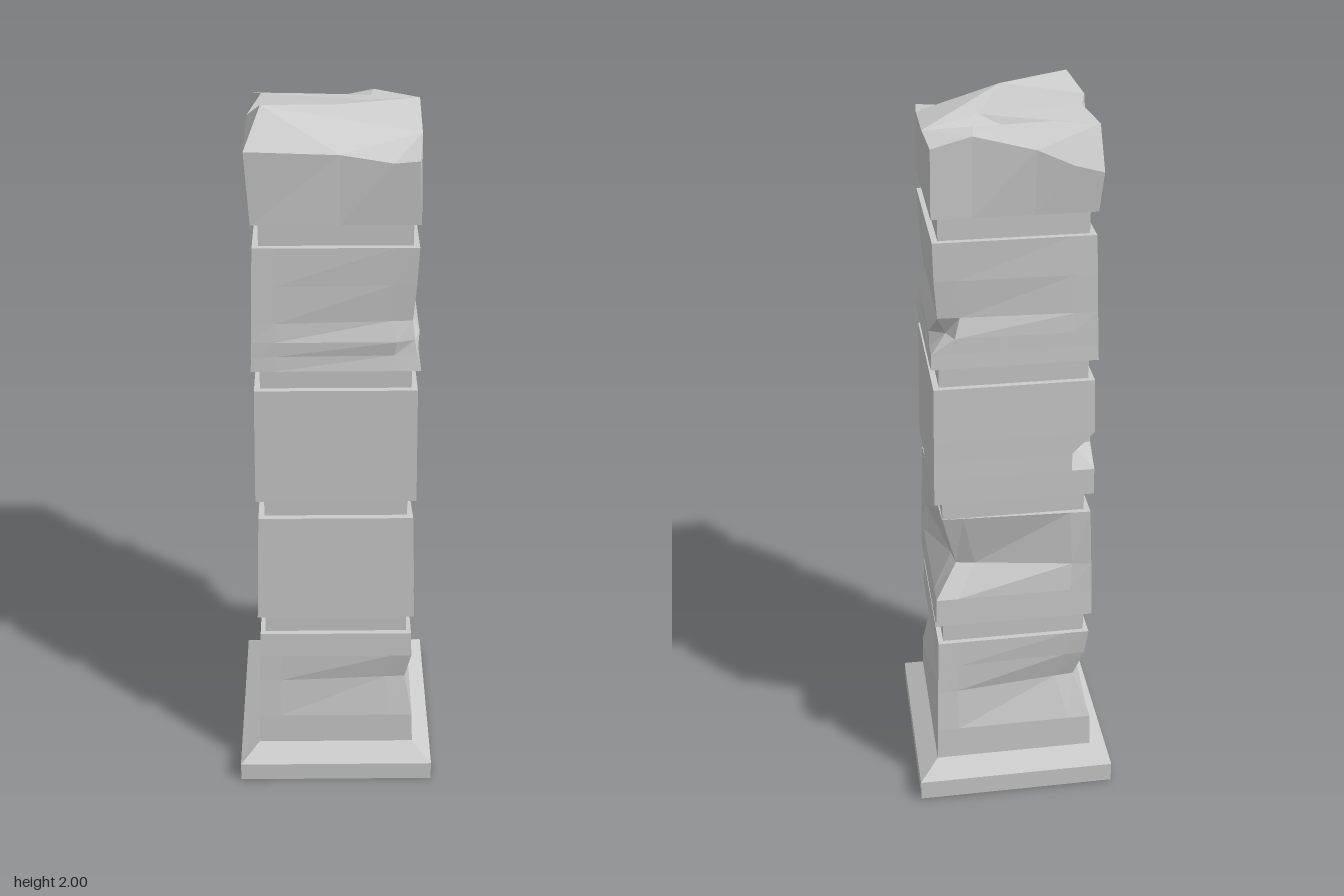
import * as THREE from 'three';

const stone = new THREE.MeshStandardMaterial({ color: 0xcccccc, flatShading: true });

// Corner signs, counter-clockwise seen from above
const CORNERS = [[1, 1], [1, -1], [-1, -1], [-1, 1]];

function makeMesh(name, points, index) {
  const indexed = new THREE.BufferGeometry();
  indexed.setAttribute('position', new THREE.Float32BufferAttribute(points.flat(), 3));
  indexed.setIndex(index);
  const geometry = indexed.toNonIndexed();
  geometry.computeVertexNormals();
  const mesh = new THREE.Mesh(geometry, stone);
  mesh.name = name;
  return mesh;
}

// Cross-section of 12 points: each corner with a neighbour on either side.
// A dent pulls its corner inwards; a local dent leaves the neighbours in place.
function ring(y, half, dents = [0, 0, 0, 0], local = false) {
  const dented = CORNERS.map(([x, z], i) => [x * (half - dents[i]), z * (half - dents[i])]);
  const base = local ? CORNERS.map(([x, z]) => [x * half, z * half]) : dented;
  const mix = (a, b, t) => [a[0] + (b[0] - a[0]) * t, y, a[1] + (b[1] - a[1]) * t];
  return dented.flatMap((c, i) => [
    mix(base[i], base[(i + 3) % 4], 0.14),
    [c[0], y, c[1]],
    mix(base[i], base[(i + 1) % 4], 0.14),
  ]);
}

// Closed solid through a stack of equal-length rings
function loft(name, rings) {
  const n = rings[0].length, index = [], last = (rings.length - 1) * n;
  for (let r = 0; r < rings.length - 1; r++) {
    for (let i = 0; i < n; i++) {
      const a = r * n + i, b = r * n + (i + 1) % n;
      index.push(a, b, b + n, a, b + n, a + n);
    }
  }
  for (let i = 1; i < n - 1; i++) {
    index.push(0, i + 1, i, last, last + i, last + i + 1);
  }
  return makeMesh(name, rings.flat(), index);
}

// Broken top block with an uneven upper surface
function brokenCap() {
  const outline = [
    [-0.213, 1.925, 0.213], [0.01, 1.912, 0.2], [0.135, 1.895, 0.21], [0.195, 1.9, 0.21],
    [0.207, 1.92, 0.075], [0.212, 1.935, -0.13], [0.2, 1.91, -0.2], [0.1, 1.935, -0.195],
    [-0.05, 1.9, -0.21], [-0.14, 1.86, -0.215], [-0.212, 1.84, -0.213],
    [-0.21, 1.94, -0.155], [-0.18, 1.965, -0.075], [-0.21, 1.955, 0.05],
  ];
  const inner = [
    [-0.175, 2, 0.11], [0, 1.985, 0.065], [0.07, 1.95, -0.07],
    [0, 1.925, -0.12], [-0.1, 1.945, -0.135], [0.09, 1.94, -0.135],
  ];
  const index = [
    0, 1, 14, 1, 4, 14, 14, 4, 15, 1, 2, 4, 2, 3, 4, 0, 14, 13,
    14, 15, 13, 13, 15, 12, 12, 15, 16, 15, 4, 5, 15, 5, 16,
    11, 12, 16, 11, 16, 18, 18, 16, 17, 17, 16, 5, 17, 5, 19, 18, 17, 19,
    11, 18, 8, 18, 19, 8, 19, 5, 7, 19, 7, 8, 5, 6, 7, 11, 8, 9, 11, 9, 10,
  ];
  // Square footprint below the outline
  const half = 0.203, n = outline.length, start = n + inner.length;
  const foot = outline.map(([x, , z]) => {
    const m = Math.max(Math.abs(x), Math.abs(z));
    const snap = (v) => (Math.abs(v) / m > 0.9 ? Math.sign(v) : v / m) * half;
    return [snap(x), 1.74, snap(z)];
  });
  for (let i = 0; i < n; i++) {
    const j = (i + 1) % n;
    index.push(start + i, start + j, j, start + i, j, i);
    if (i > 0 && i < n - 1) index.push(start, start + i + 1, start + i);
  }
  return makeMesh('brokenCap', [...outline, ...inner, ...foot], index);
}

export function createModel() {
  const group = new THREE.Group();
  group.name = 'weatheredPillar';

  // Plinth with a sloped top
  group.add(loft('plinth', [ring(0, 0.28), ring(0.06, 0.28), ring(0.1, 0.225)]));

  // Tapered blocks with chipped corners
  group.add(loft('lowerBlock', [
    ring(0.1, 0.225),
    ring(0.2, 0.222),
    ring(0.33, 0.218, [0.02, 0, 0.04, 0]),
    ring(0.42, 0.215, [0, 0, 0.012, 0]),
    ring(0.5, 0.212),
  ]));
  group.add(loft('secondBlock', [
    ring(0.565, 0.218),
    ring(0.65, 0.215),
    ring(0.73, 0.213, [0, 0.06, 0, 0]),
    ring(0.895, 0.207, [0, 0.015, 0, 0]),
  ]));
  group.add(loft('thirdBlock', [
    ring(0.955, 0.213),
    ring(1.03, 0.212),
    ring(1.08, 0.211, [0, 0, 0.05, 0], true),
    ring(1.14, 0.21),
    ring(1.29, 0.207),
  ]));
  group.add(loft('fourthBlock', [
    ring(1.35, 0.213),
    ring(1.39, 0.211, [0.008, 0, 0, 0]),
    ring(1.43, 0.21, [0.014, 0.04, 0, 0], true),
    ring(1.48, 0.208, [0.018, 0.016, 0, 0]),
    ring(1.58, 0.205, [0.008, 0.006, 0, 0]),
    ring(1.68, 0.201),
  ]));
  group.add(brokenCap());

  // Recessed joints between the blocks
  for (const [low, high, half] of [
    [0.5, 0.565, 0.198], [0.895, 0.955, 0.191], [1.29, 1.35, 0.192], [1.68, 1.74, 0.186],
  ]) {
    const joint = new THREE.Mesh(new THREE.BoxGeometry(half * 2, high - low, half * 2), stone);
    joint.position.y = (low + high) / 2;
    joint.name = 'recessedJoint';
    group.add(joint);
  }
  return group;
}
